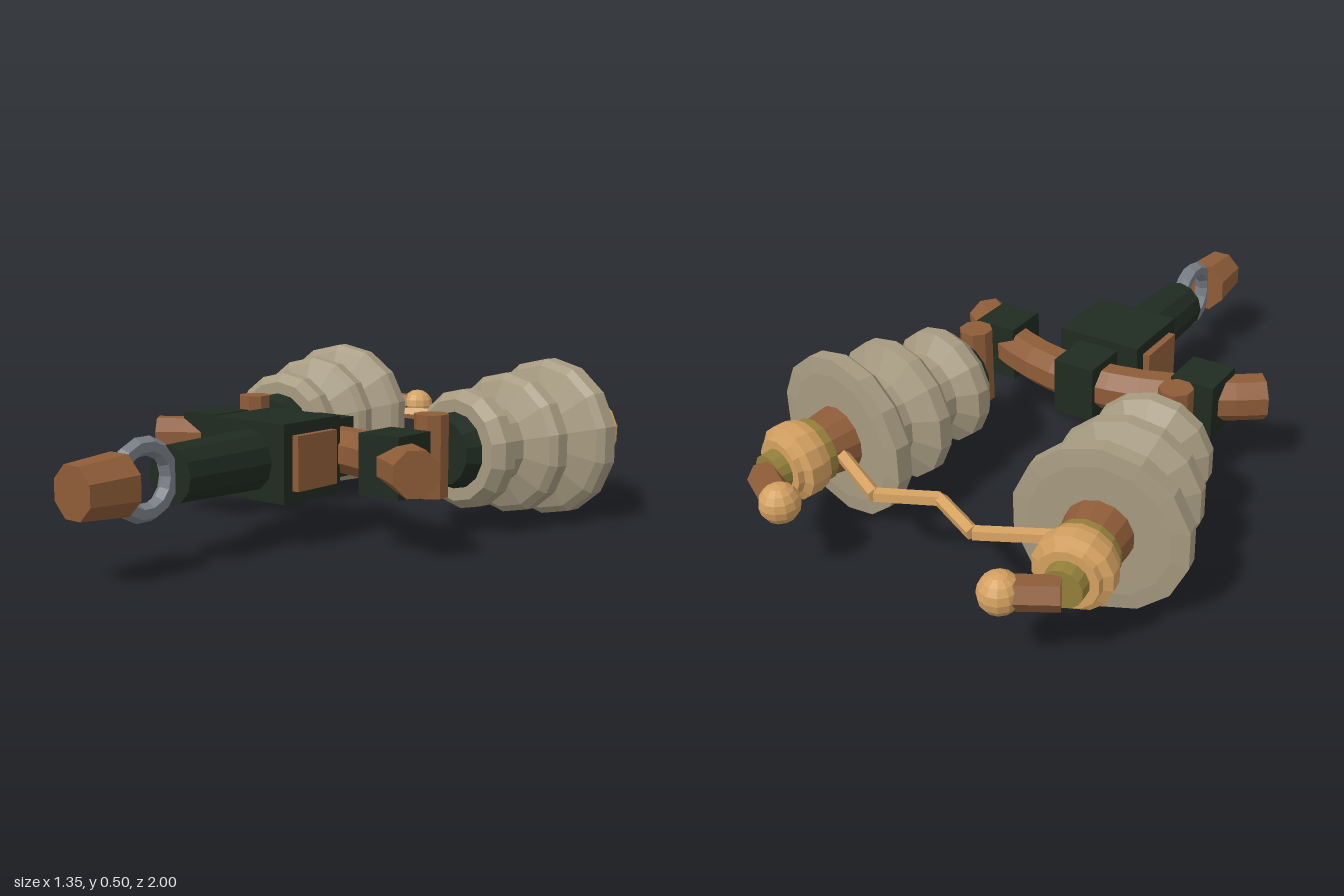
import * as THREE from 'three';

const Y = 0.25; // height of the common centre plane
const TILT = 0.17; // outward yaw of each ribbed stack

function mat(name, color) {
  const m = new THREE.MeshStandardMaterial({ color, flatShading: true });
  m.name = name;
  return m;
}

export function createModel() {
  const copper = mat('copper brown', 0x8e5c38);
  const brass = mat('pale brass', 0xd3a060);
  const olive = mat('olive brass', 0x94803a);
  const ceramic = mat('ceramic grey', 0xa69a80);
  const dark = mat('dark green', 0x1f2b21);
  const steel = mat('steel', 0x787d84);

  const model = new THREE.Group();
  const add = (name, geo, material, x = 0, y = 0, z = 0, parent = model) => {
    const m = new THREE.Mesh(geo, material);
    m.name = name;
    m.position.set(x, y, z);
    parent.add(m);
    return m;
  };
  const box = (name, w, h, d, material, x, z) =>
    add(name, new THREE.BoxGeometry(w, h, d), material, x, Y, z);

  // Straight prism between two points
  const rod = (name, a, b, r, sides, material) => {
    const dir = b.clone().sub(a);
    const geo = new THREE.CylinderGeometry(r, r, dir.length(), sides).rotateY(Math.PI / sides);
    const m = add(name, geo, material);
    m.position.copy(a).add(b).multiplyScalar(0.5);
    m.quaternion.setFromUnitVectors(new THREE.Vector3(0, 1, 0), dir.normalize());
    return m;
  };

  // Handle: body, side plates, barrel, ring and end knob
  box('body', 0.276, 0.23, 0.245, dark, 0, 0.243);
  box('bowMount', 0.136, 0.18, 0.16, dark, 0, 0.05);
  for (const s of [-1, 1]) box('sidePlate', 0.03, 0.16, 0.17, copper, s * 0.145, 0.245);
  add('barrel', new THREE.CylinderGeometry(0.083, 0.092, 0.32, 12).rotateX(Math.PI / 2), dark, 0, Y, 0.512);
  add('ring', new THREE.TorusGeometry(0.091, 0.027, 6, 14).rotateY(Math.PI / 2), steel, 0, Y, 0.765);
  add('endKnob', new THREE.CylinderGeometry(0.076, 0.089, 0.156, 8).rotateY(Math.PI / 8).rotateX(Math.PI / 2),
    copper, 0, Y, 0.922);

  // Curved crossbar with an octagonal section
  const octagon = new THREE.Shape(Array.from({ length: 8 }, (_, i) => {
    const a = (i + 0.5) * Math.PI / 4;
    return new THREE.Vector2(0.071 * Math.cos(a), 0.071 * Math.sin(a));
  }));
  const arc = new THREE.QuadraticBezierCurve3(
    new THREE.Vector3(-0.51, Y, 0.246), new THREE.Vector3(0, Y, -0.156), new THREE.Vector3(0.51, Y, 0.246));
  add('crossbar', new THREE.ExtrudeGeometry(octagon, { steps: 12, bevelEnabled: false, extrudePath: arc }), copper);

  // Stack sections as [distance along axis, radius]
  const sections = [
    ['stackCap', dark, [[0.105, 0], [0.105, 0.1], [0.18, 0.125], [0.18, 0]]],
    ['ribbedInsulator', ceramic, [[0.155, 0], [0.155, 0.155], [0.187, 0.182], [0.228, 0.182], [0.268, 0.125],
      [0.328, 0.125], [0.36, 0.2], [0.38, 0.219], [0.42, 0.219], [0.46, 0.14], [0.51, 0.14],
      [0.545, 0.23], [0.565, 0.25], [0.612, 0.25], [0.618, 0.2], [0.618, 0]]],
    ['stackNeck', copper, [[0.61, 0], [0.61, 0.1], [0.71, 0.085], [0.71, 0]]],
    ['lowerCollar', olive, [[0.7, 0], [0.7, 0.096], [0.735, 0.096], [0.735, 0]]],
    ['brassCollar', brass, [[0.73, 0], [0.73, 0.103], [0.76, 0.112], [0.8, 0.112], [0.812, 0.088],
      [0.83, 0.085], [0.83, 0]]],
    ['tipCollar', olive, [[0.82, 0], [0.82, 0.06], [0.868, 0.056], [0.868, 0]]],
  ];

  for (const s of [-1, 1]) {
    // Clamp on the crossbar and the upright pin behind it
    box('crossbarClamp', 0.14, 0.178, 0.15, dark, s * 0.355, 0.14);
    add('pin', new THREE.CylinderGeometry(0.052, 0.052, 0.246, 8).rotateY(Math.PI / 8), copper, s * 0.355, Y, -0.037);

    // Ribbed stack pointing back and slightly outward
    const stack = new THREE.Group();
    stack.name = s > 0 ? 'leftStack' : 'rightStack';
    stack.position.set(s * 0.331, Y, 0);
    stack.rotation.y = -s * TILT;
    model.add(stack);
    for (const [name, material, pts] of sections) {
      const profile = pts.map(([d, r]) => new THREE.Vector2(r, d));
      add(name, new THREE.LatheGeometry(profile, 14).rotateX(-Math.PI / 2), material, 0, 0, 0, stack);
    }

    // Inward electrode arm and ball
    const tip = new THREE.Vector3(s * 0.355, Y, -0.942);
    rod('electrodeArm', new THREE.Vector3(s * 0.485, Y, -0.868), tip, 0.046, 6, copper);
    add('electrodeBall', new THREE.SphereGeometry(0.058, 12, 8), brass, tip.x, tip.y, tip.z);
  }

  // Zigzag wire joining the stacks
  const zig = [[-0.4, -0.66], [-0.162, -0.782], [0, -0.705], [0.162, -0.782], [0.4, -0.66]]
    .map(([x, z]) => new THREE.Vector3(x, Y, z));
  for (let i = 0; i < 4; i++) rod('zigzagWire', zig[i], zig[i + 1], 0.021, 5, brass);

  return model;
}
